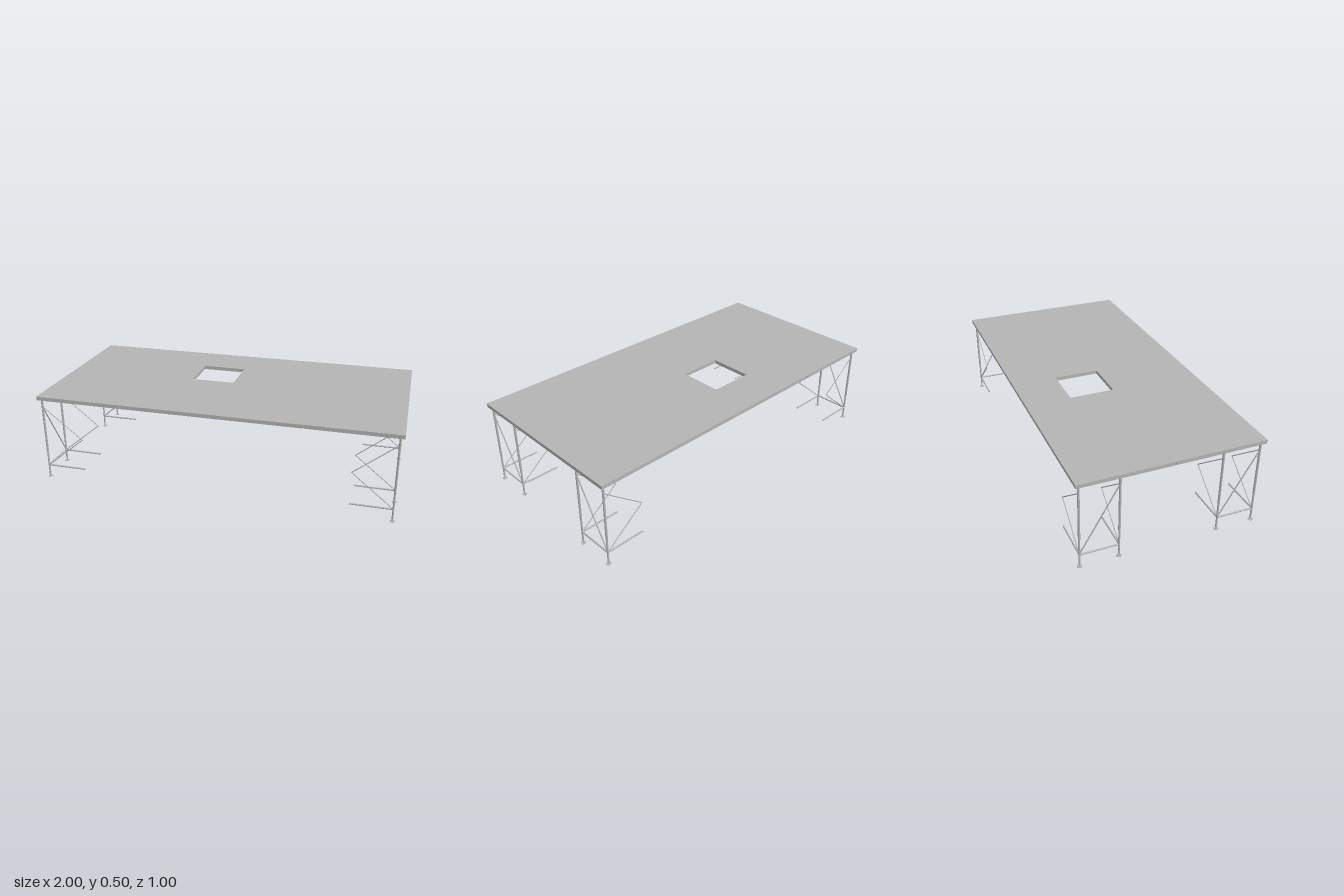
import * as THREE from 'three';

const steel = new THREE.MeshStandardMaterial({ color: 0xb4b4b4 });
steel.name = 'grey steel';

function box(parent, name, w, h, d, x, y, z) {
  const m = new THREE.Mesh(new THREE.BoxGeometry(w, h, d), steel);
  m.name = name;
  m.position.set(x, y, z);
  parent.add(m);
  return m;
}

// Round bar between two points
function bar(parent, name, a, b, r) {
  const p = new THREE.Vector3(...a), q = new THREE.Vector3(...b);
  const dir = q.clone().sub(p);
  const m = new THREE.Mesh(new THREE.CylinderGeometry(r, r, dir.length(), 10), steel);
  m.name = name;
  m.position.copy(p).add(q).multiplyScalar(0.5);
  m.quaternion.setFromUnitVectors(new THREE.Vector3(0, 1, 0), dir.normalize());
  parent.add(m);
}

// One platform: top sheet, edge frame, cross ribs, corner gussets and leg sockets
function platform(x0, x1, z0, z1) {
  const g = new THREE.Group();
  g.name = 'platform';
  const w = x1 - x0, d = z1 - z0, gap = 0.002, t = 0.008;
  g.position.set((x0 + x1) / 2, 0, (z0 + z1) / 2);
  box(g, 'topSheet', w, 0.006, d, 0, 0.497, 0);
  for (const s of [-1, 1]) {
    box(g, 'longFrameRail', w - gap, 0.016, t, 0, 0.487, s * (d / 2 - t / 2 - gap / 2));
    box(g, 'endFrameRail', t, 0.016, d - gap, s * (w / 2 - t / 2 - gap / 2), 0.487, 0);
  }
  const ribs = Math.round(w / 0.1) - 1;
  for (let i = 1; i <= ribs; i++) {
    box(g, 'crossRib', 0.008, 0.01, d - 0.02, -w / 2 + (i * w) / (ribs + 1), 0.49, 0);
  }
  // Triangular gusset closing each corner of the frame
  const tri = new THREE.Shape([[0, 0], [0.05, 0], [0, 0.05]].map((p) => new THREE.Vector2(...p)));
  const gussetGeo = new THREE.ExtrudeGeometry(tri, { depth: 0.004, bevelEnabled: false });
  gussetGeo.rotateX(Math.PI / 2);
  for (let k = 0; k < 4; k++) {
    const sx = k === 0 || k === 3 ? -1 : 1, sz = k < 2 ? -1 : 1;
    const gusset = new THREE.Mesh(gussetGeo, steel);
    gusset.name = 'cornerGusset';
    gusset.position.set(sx * (w / 2 - 0.006), 0.486, sz * (d / 2 - 0.006));
    gusset.rotation.y = -k * Math.PI / 2;
    g.add(gusset);
    const x = sx * (w / 2 - 0.022), z = sz * (d / 2 - 0.022);
    bar(g, 'legSocket', [x, 0.476, z], [x, 0.494, z], 0.01);
  }
  return g;
}

// Telescopic leg with foot plate and the side brace reaching under the deck
function leg(x, z) {
  const g = new THREE.Group();
  g.name = 'leg';
  const inX = Math.sign(x) * 0.752;
  bar(g, 'outerTube', [x, 0.16, z], [x, 0.48, z], 0.0062);
  bar(g, 'innerTube', [x, 0.016, z], [x, 0.16, z], 0.005);
  bar(g, 'footSpindle', [x, 0.001, z], [x, 0.016, z], 0.003);
  bar(g, 'footPlate', [x, 0, z], [x, 0.002, z], 0.014);
  bar(g, 'sideTube', [x, 0.072, z], [inX, 0.072, z], 0.0045);
  bar(g, 'upperBrace', [x, 0.435, z], [inX, 0.255, z], 0.0025);
  bar(g, 'lowerBrace', [x, 0.072, z], [inX, 0.255, z], 0.0025);
  return g;
}

export function createModel() {
  const model = new THREE.Group();
  model.name = 'stage';

  // Four by four grid of platforms, one of them half length to leave the opening
  for (let i = 0; i < 4; i++) {
    for (let j = 0; j < 4; j++) {
      const x0 = -1 + i * 0.5, z0 = -0.5 + j * 0.25;
      const half = i === 1 && j === 1;
      model.add(platform(x0, x0 + (half ? 0.25 : 0.5), z0, z0 + 0.25));
    }
  }

  // Two braced pairs of legs at each end
  for (const x of [-0.978, 0.978]) {
    for (const [zFront, zBack] of [[0.478, 0.272], [-0.272, -0.478]]) {
      const pair = new THREE.Group();
      pair.name = 'legPair';
      pair.add(leg(x, zFront), leg(x, zBack));
      bar(pair, 'endTube', [x, 0.072, zFront], [x, 0.072, zBack], 0.0045);
      bar(pair, 'endDiagonal', [x, 0.432, zFront], [x, 0.075, zBack], 0.0035);
      model.add(pair);
    }
  }
  return model;
}
